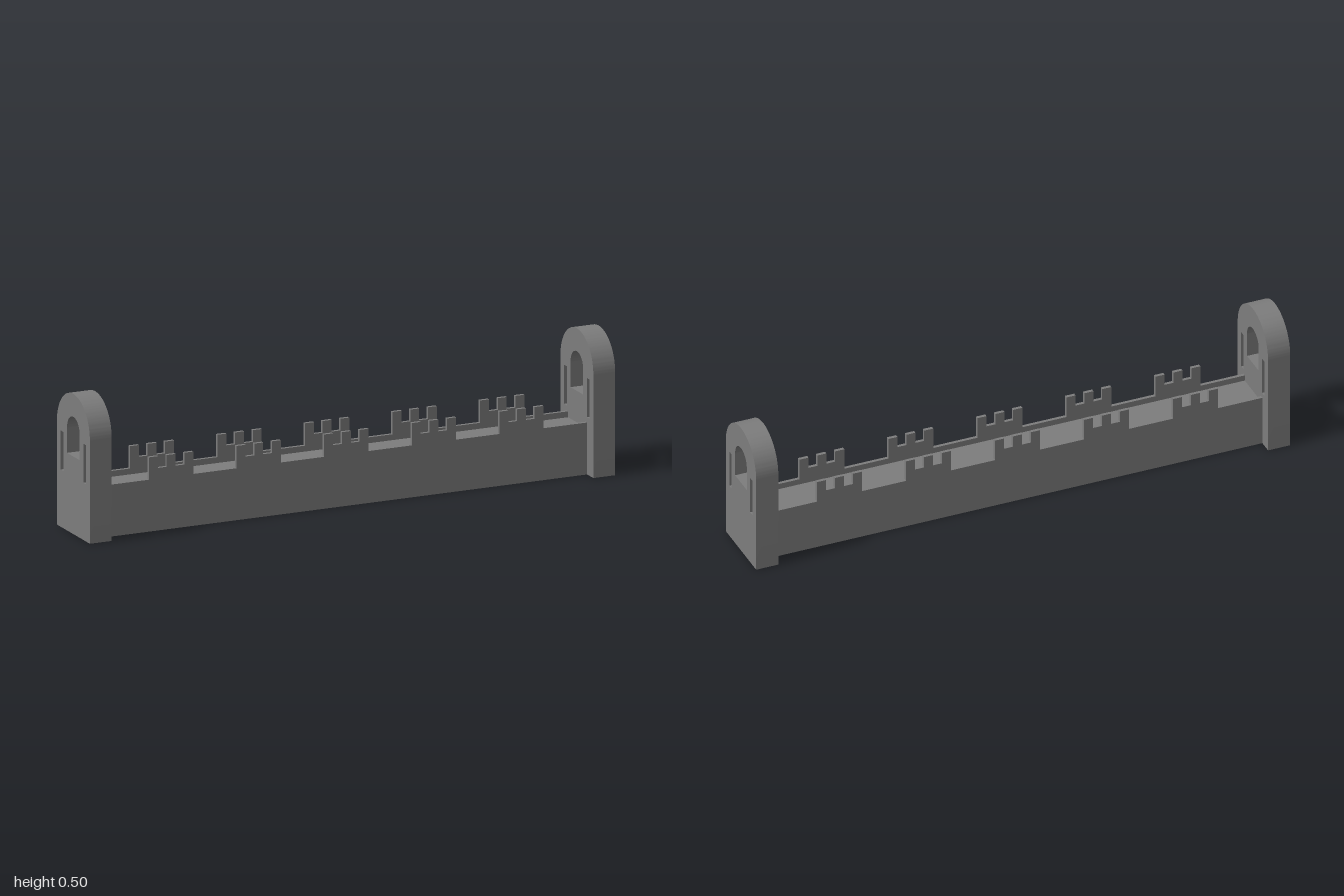
import * as THREE from 'three';
import { toCreasedNormals } from 'three/addons/utils/BufferGeometryUtils.js';

const material = new THREE.MeshStandardMaterial({ color: 0x7d7d7d });

const TOWER_IN = 0.917, HALF_DEPTH = 0.083, LIP = 0.012;
const DECK_Y = 0.165, LIP_Y = 0.186, MERLON_Y = 0.224, TOOTH_Y = 0.266;

function addMesh(parent, geometry, name) {
  const mesh = new THREE.Mesh(geometry, material);
  mesh.name = name;
  parent.add(mesh);
  return mesh;
}

// Round-headed outline, used for the tower and its doorway
function arch(target, halfWidth, bottom, spring) {
  target.moveTo(-halfWidth, bottom);
  target.lineTo(halfWidth, bottom);
  target.lineTo(halfWidth, spring);
  target.absarc(0, spring, halfWidth, 0, Math.PI, false);
  target.closePath();
  return target;
}

function towerGeometry() {
  const shape = arch(new THREE.Shape(), 0.133, 0, 0.369);
  shape.holes.push(arch(new THREE.Path(), 0.051, 0.278, 0.369));
  // Narrow slits either side of the doorway
  for (const s of [-1, 1]) {
    const a = s * 0.081, b = s * 0.102;
    shape.holes.push(new THREE.Path([
      new THREE.Vector2(a, 0.205), new THREE.Vector2(b, 0.205),
      new THREE.Vector2(b, 0.345), new THREE.Vector2(a, 0.345),
    ]));
  }
  const depth = 1 - TOWER_IN;
  const geometry = new THREE.ExtrudeGeometry(shape, { depth, bevelEnabled: false, curveSegments: 40 });
  geometry.translate(0, 0, -depth / 2);
  geometry.rotateY(Math.PI / 2);
  return toCreasedNormals(geometry, Math.PI / 6);
}

// Low lip with five blocks, each topped by three teeth
function parapetGeometry() {
  const shape = new THREE.Shape();
  shape.moveTo(TOWER_IN, DECK_Y);
  shape.lineTo(TOWER_IN, LIP_Y);
  const half = 0.084, tooth = 0.034, step = (2 * half - tooth) / 2;
  for (let i = 2; i >= -2; i--) {
    const cx = i / 3;
    shape.lineTo(cx + half, LIP_Y);
    for (let t = 0; t < 3; t++) {
      const x = cx + half - t * step;
      if (t > 0) shape.lineTo(x, MERLON_Y);
      shape.lineTo(x, TOOTH_Y);
      shape.lineTo(x - tooth, TOOTH_Y);
      if (t < 2) shape.lineTo(x - tooth, MERLON_Y);
    }
    shape.lineTo(cx - half, LIP_Y);
  }
  shape.lineTo(-TOWER_IN, LIP_Y);
  shape.lineTo(-TOWER_IN, DECK_Y);
  shape.closePath();
  const geometry = new THREE.ExtrudeGeometry(shape, { depth: LIP, bevelEnabled: false });
  geometry.translate(0, 0, -LIP / 2);
  return geometry;
}

export function createModel() {
  const model = new THREE.Group();
  model.name = 'castleWall';

  // Wall body, its top forming the sunken walkway
  const wall = addMesh(model, new THREE.BoxGeometry(2 * TOWER_IN, DECK_Y, 2 * HALF_DEPTH), 'wallBody');
  wall.position.y = DECK_Y / 2;

  // Battlements front and back
  const parapet = parapetGeometry();
  for (const [s, name] of [[1, 'frontParapet'], [-1, 'backParapet']]) {
    addMesh(model, parapet, name).position.z = s * (HALF_DEPTH - LIP / 2);
  }

  // Arched towers at both ends
  const tower = towerGeometry();
  for (const [s, name] of [[1, 'leftTower'], [-1, 'rightTower']]) {
    addMesh(model, tower, name).position.x = s * (1 + TOWER_IN) / 2;
  }

  return model;
}
